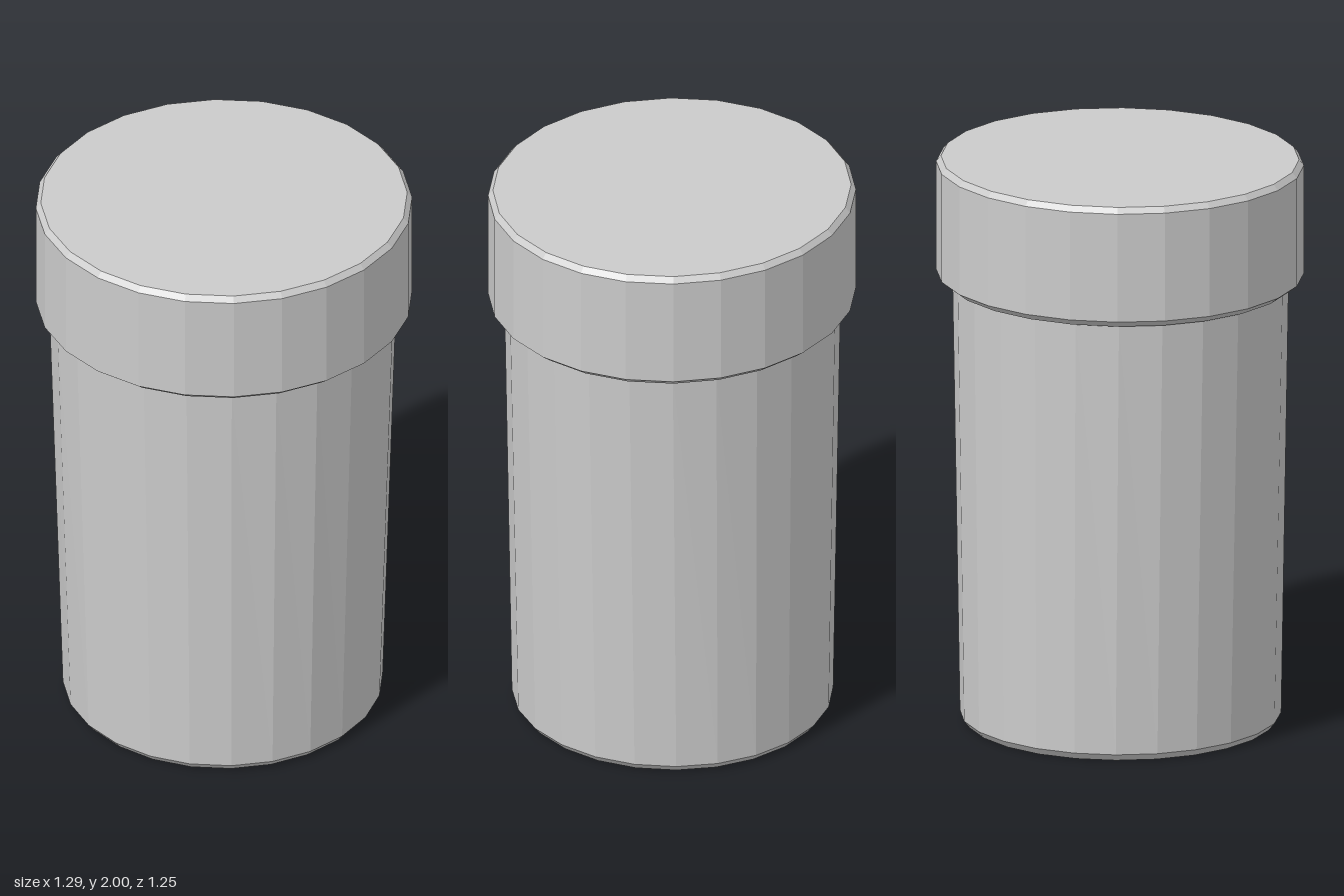
import * as THREE from 'three';

const SIDES = 24;

// Faceted turned solid; depth(y) flattens each ring slightly along z.
function turned(name, profile, depth, material) {
  const points = profile.map(([r, y]) => new THREE.Vector2(r, y));
  const geometry = new THREE.LatheGeometry(points, SIDES);
  const p = geometry.attributes.position;
  for (let i = 0; i < p.count; i++) p.setZ(i, p.getZ(i) * depth(p.getY(i)));
  geometry.computeVertexNormals();
  const mesh = new THREE.Mesh(geometry, material);
  mesh.name = name;
  return mesh;
}

export function createModel() {
  const group = new THREE.Group();
  group.name = 'liddedCup';
  const material = new THREE.MeshStandardMaterial({ color: 0xcccccc, flatShading: true });

  // Tapered cup with a closed, chamfered base
  const cup = turned('cup', [
    [0, 0], [0.53, 0], [0.55, 0.025], [0.597, 1.575],
  ], (y) => THREE.MathUtils.lerp(1.005, 0.957, y / 1.575), material);
  cup.position.x = -0.004;

  // Wide lid with bevelled rims and a flat top
  const lid = turned('lid', [
    [0.585, 1.565], [0.615, 1.57], [0.647, 1.595],
    [0.647, 1.98], [0.63, 2], [0, 2],
  ], () => 0.969, material);

  group.add(cup, lid);
  return group;
}
